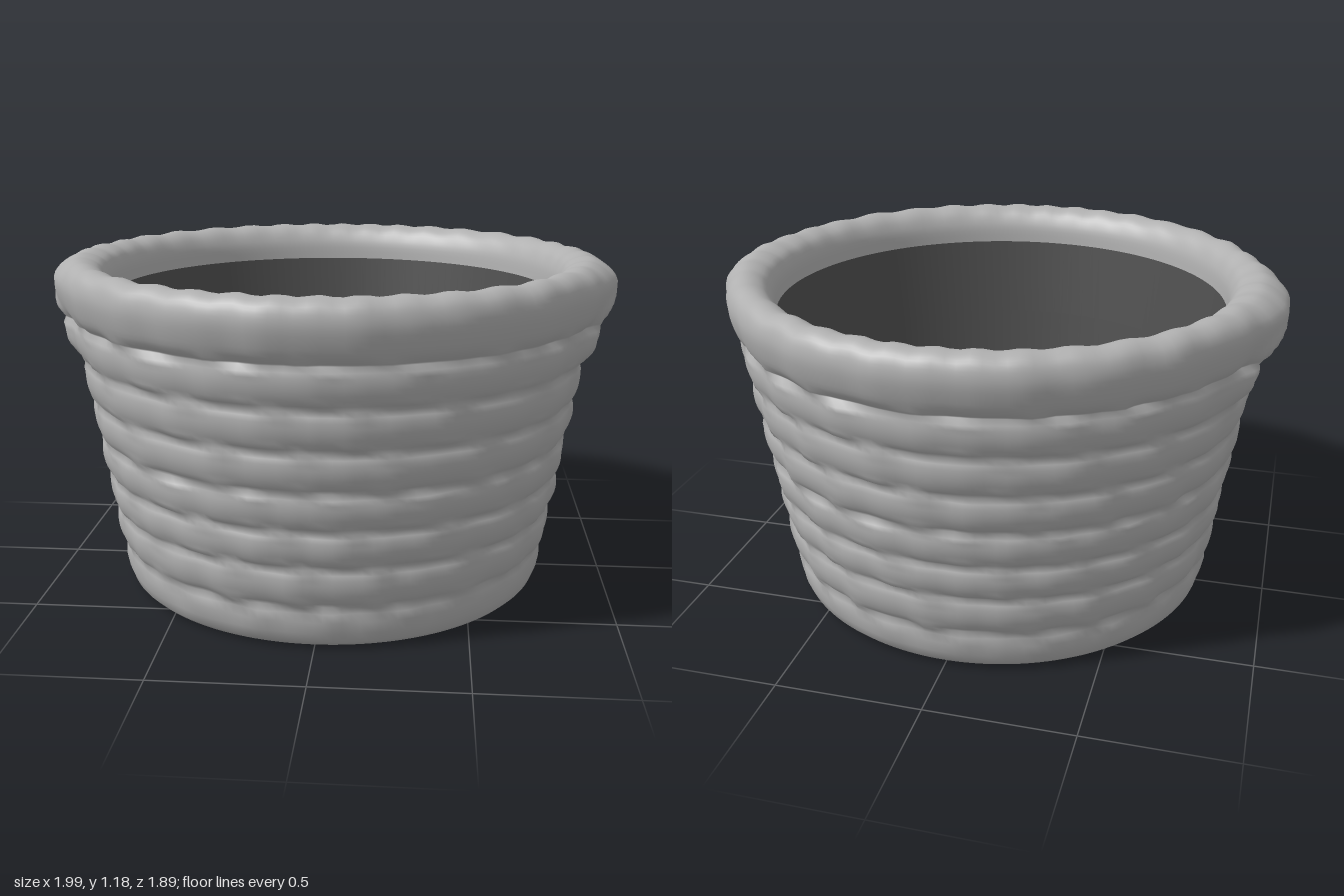
import * as THREE from 'three';
import { mergeVertices } from 'three/addons/utils/BufferGeometryUtils.js';

const SEGMENTS = 160;
const GROOVES = [0.15, 0.29, 0.42, 0.555, 0.69, 0.83, 0.97];
const v2 = (x, y) => new THREE.Vector2(x, y);
const smooth = THREE.MathUtils.smoothstep;

// Revolve a profile, bend each vertex by a rule, and smooth across the seam
function revolve(points, bend) {
  let geo = new THREE.LatheGeometry(points, SEGMENTS);
  geo.deleteAttribute('uv');
  geo.deleteAttribute('normal');
  geo = mergeVertices(geo, 1e-4);
  if (bend) {
    const p = geo.attributes.position;
    for (let i = 0; i < p.count; i++) {
      const x = p.getX(i), y = p.getY(i), z = p.getZ(i);
      const r = Math.hypot(x, z);
      const [nr, ny] = bend(r, y, Math.atan2(x, z));
      p.setXYZ(i, (x / r) * nr, ny, (z / r) * nr);
    }
  }
  geo.computeVertexNormals();
  return geo;
}

// Outer profile: rounded foot, one bulge per woven row, then a thick rolled rim
function outerProfile() {
  const pts = [v2(0.7, 0), v2(0.735, 0.006), v2(0.755, 0.025), v2(0.768, 0.06), v2(0.774, 0.1), v2(0.77, 0.13)];
  const steps = 8;
  for (let k = 0; k < GROOVES.length - 1; k++) {
    for (let s = 0; s < steps; s++) {
      const t = s / steps;
      const y = THREE.MathUtils.lerp(GROOVES[k], GROOVES[k + 1], t);
      const bulge = Math.pow(Math.sin(Math.PI * t), 0.6);
      pts.push(v2(0.74 + 0.162 * y + 0.023 * bulge, y));
    }
  }
  const rim = new THREE.SplineCurve([
    v2(0.895, 0.97), v2(0.925, 1.01), v2(0.943, 1.085), v2(0.932, 1.14), v2(0.9, 1.168),
    v2(0.86, 1.17), v2(0.822, 1.147), v2(0.797, 1.1), v2(0.79, 1.04),
  ]);
  return pts.concat(rim.getPoints(32));
}

// Weave dents, a front seam, and the arched grip swelling out on each side
function weave(r, y, a) {
  const row = GROOVES.filter((g) => g <= y).length;
  const outer = smooth(r, 0.82, 0.88);
  const body = smooth(y, 0.02, 0.1) * (y < 1 ? 1 : outer);

  const strand = Math.sin(a * 20 + row * 2.3 + 0.8 * Math.sin(a * 3 + row));
  const wobble = Math.sin(a * 7 + row * 1.7) * Math.sin(a * 31 + row * 4.1);
  let nr = r + body * (0.003 * strand + 0.003 * wobble);

  // short plugs where strands cross, filling parts of each groove
  const gap = Math.min(...GROOVES.map((g) => Math.abs(y - g)));
  const plug = Math.max(0, Math.sin(a * 18 + row * 2.1 + Math.sin(a * 5)));
  nr += 0.012 * plug * plug * Math.exp(-((gap / 0.02) ** 2)) * body;

  // vertical seam at the front
  nr -= 0.008 * Math.exp(-(((a + 0.025) / 0.02) ** 2)) * smooth(y, 0.1, 0.4) * (1 - smooth(y, 0.8, 1));

  // grip: the wall flares towards the rim but stays hollow below the arch
  const z = r * Math.cos(a);
  const flare = smooth(y, 0.76, 1.08) * (1 - 0.7 * smooth(y, 1.1, 1.18)) * Math.exp(-((z / 0.3) ** 2));
  const arch = Math.hypot(z / 0.21, (y - 0.83) / 0.2);
  const hollow = y > 0.8 ? 1 - smooth(arch, 0.8, 1.08) : 0;
  const lip = 0.02 * Math.exp(-(((arch - 1.2) / 0.18) ** 2)) * smooth(y, 0.82, 0.9) * (1 - smooth(y, 1, 1.08));
  nr += outer * (0.056 * flare * (1 - hollow) + lip);

  const crown = smooth(y, 1.1, 1.17) * 0.004 * Math.sin(a * 38 + 2 * Math.sin(a * 4));
  return [nr, y + crown];
}

export function createModel() {
  const wicker = new THREE.MeshStandardMaterial({ color: 0xb0b0b0 });
  const lining = new THREE.MeshStandardMaterial({ color: 0x505050 });
  wicker.name = 'light grey wicker';
  lining.name = 'dark grey lining';

  const basket = new THREE.Group();
  basket.name = 'basket';
  const add = (name, geo, mat) => {
    const mesh = new THREE.Mesh(geo, mat);
    mesh.name = name;
    basket.add(mesh);
    return mesh;
  };

  add('wovenWallAndRim', revolve(outerProfile(), weave), wicker);

  // Inner wall curving into the floor
  const inside = [v2(0.79, 1.04), v2(0.755, 0.75), v2(0.72, 0.45), v2(0.685, 0.17),
    v2(0.672, 0.11), v2(0.64, 0.075), v2(0.58, 0.06), v2(0.3, 0.06), v2(0, 0.06)];
  add('innerWallAndFloor', revolve(inside), lining);

  // Flat underside
  const base = add('base', new THREE.CircleGeometry(0.7, SEGMENTS), wicker);
  base.rotation.x = Math.PI / 2;

  return basket;
}
